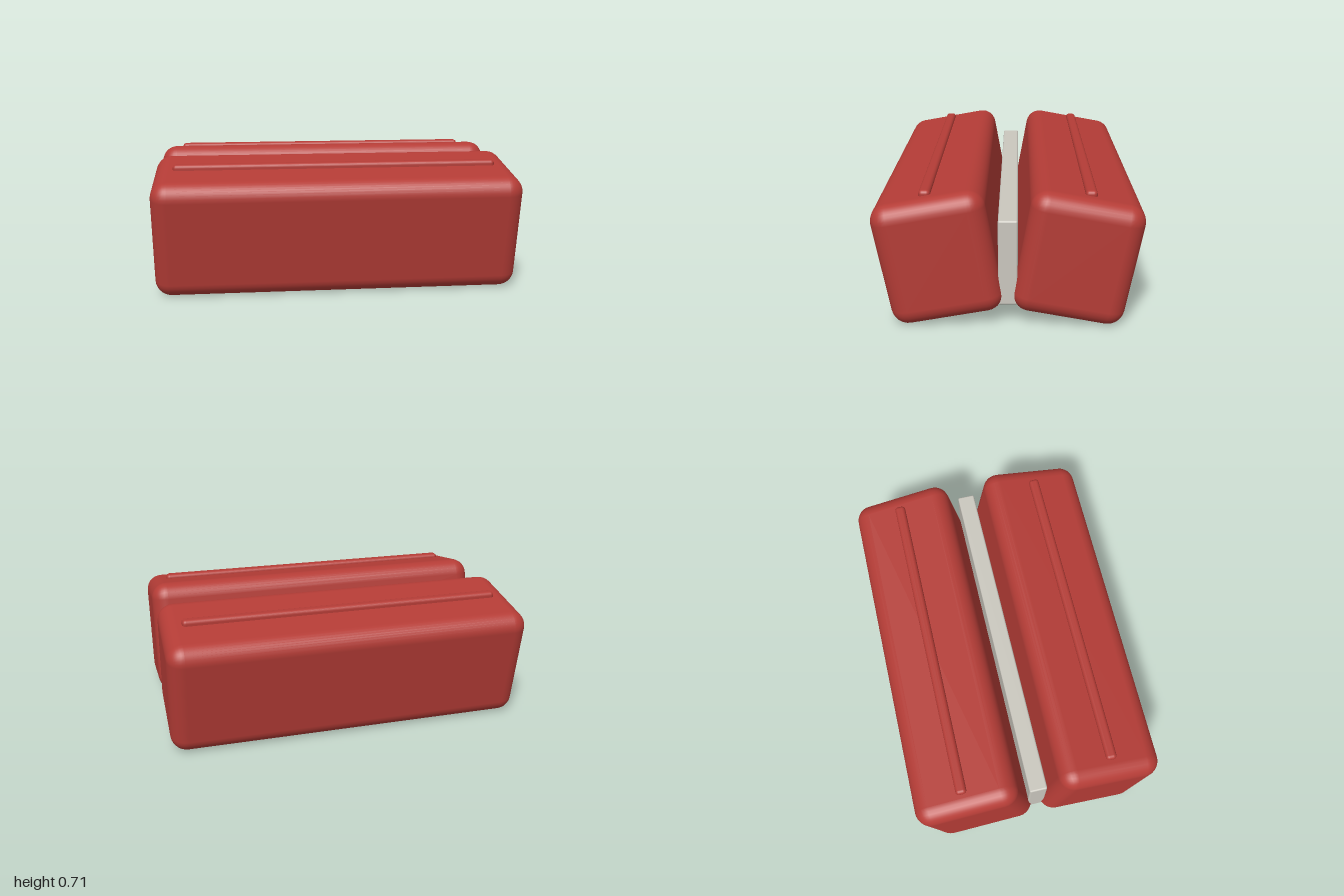
import * as THREE from 'three';
import { RoundedBoxGeometry } from 'three/addons/geometries/RoundedBoxGeometry.js';

export function createModel() {
  const model = new THREE.Group();
  const red = new THREE.MeshStandardMaterial({ color: 0xb43c36 });
  red.name = 'red';
  const paleGrey = new THREE.MeshStandardMaterial({ color: 0xcac7be });
  paleGrey.name = 'paleGrey';

  const block = (name, size, radius, segments, material, position, tilt = 0) => {
    const mesh = new THREE.Mesh(new RoundedBoxGeometry(...size, segments, radius), material);
    mesh.name = name;
    mesh.position.set(...position);
    mesh.rotation.x = tilt;
    model.add(mesh);
  };

  // Upright spine between the two bags
  block('spine', [1.89, 0.455, 0.1], 0.01, 2, paleGrey, [0, 0.3375, 0]);

  // Mirrored pair of bags leaning outwards, each with a raised strip on top
  for (const [label, side] of [['front', 1], ['back', -1]]) {
    block(`${label}Bag`, [2, 0.651, 0.582], 0.09, 4, red, [0, 0.3575, side * 0.355], side * 0.18);
    block(`${label}Strip`, [1.78, 0.06, 0.06], 0.02, 3, red, [0, 0.673, side * 0.416]);
  }
  return model;
}
